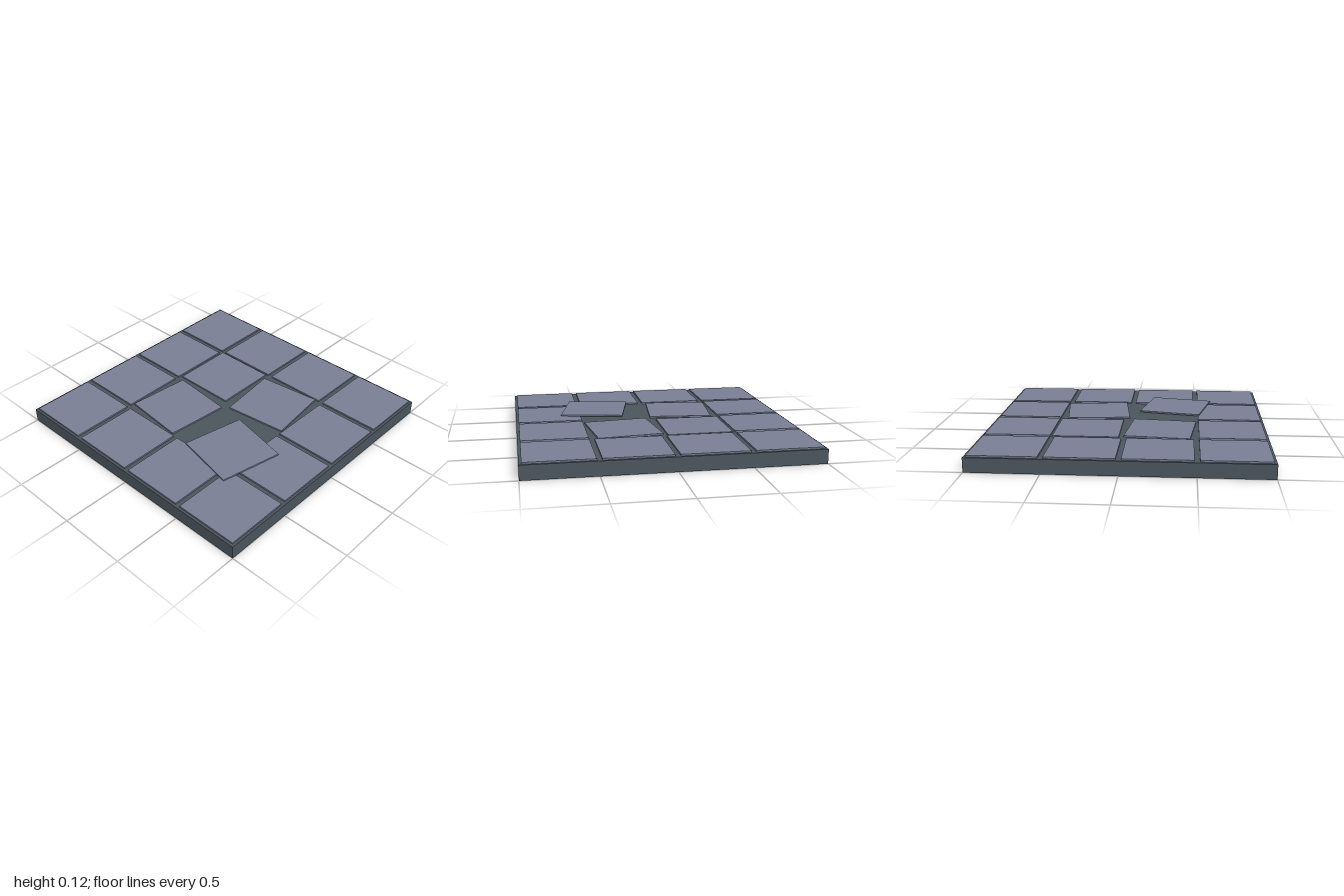
import * as THREE from 'three';

export function createModel() {
  const group = new THREE.Group();
  const stone = new THREE.MeshStandardMaterial({ color: 0x4b555d });
  stone.name = 'dark grout';
  const slate = new THREE.MeshStandardMaterial({ color: 0x7a7f96 });
  slate.name = 'slate tile';

  // Slab that carries the tiles
  const base = new THREE.Mesh(new THREE.BoxGeometry(2, 0.1, 2), stone);
  base.name = 'base';
  base.position.y = 0.05;
  group.add(base);

  // Tiles that have shifted from the grid: [x, z, turn, bottom height]
  const shifted = {
    '1,1': [-0.263, -0.27, 0, 0.1],
    '2,1': [0.25, -0.254, 0.115, 0.1],
    '1,2': [-0.252, 0.248, -0.1, 0.1],
    '2,2': [0.387, 0.345, -0.21, 0.111], // loose tile resting on its neighbours
  };

  // Four by four floor tiles
  const tileGeometry = new THREE.BoxGeometry(0.464, 0.011, 0.464);
  for (let row = 0; row < 4; row++) {
    for (let col = 0; col < 4; col++) {
      const spot = shifted[`${col},${row}`] ?? [col * 0.5 - 0.75, row * 0.5 - 0.75, 0, 0.1];
      const [x, z, turn, bottom] = spot;
      const tile = new THREE.Mesh(tileGeometry, slate);
      tile.name = bottom > 0.1 ? 'looseTile' : `tile${row + 1}${col + 1}`;
      tile.position.set(x, bottom + 0.0055, z);
      tile.rotation.y = turn;
      group.add(tile);
    }
  }
  return group;
}
